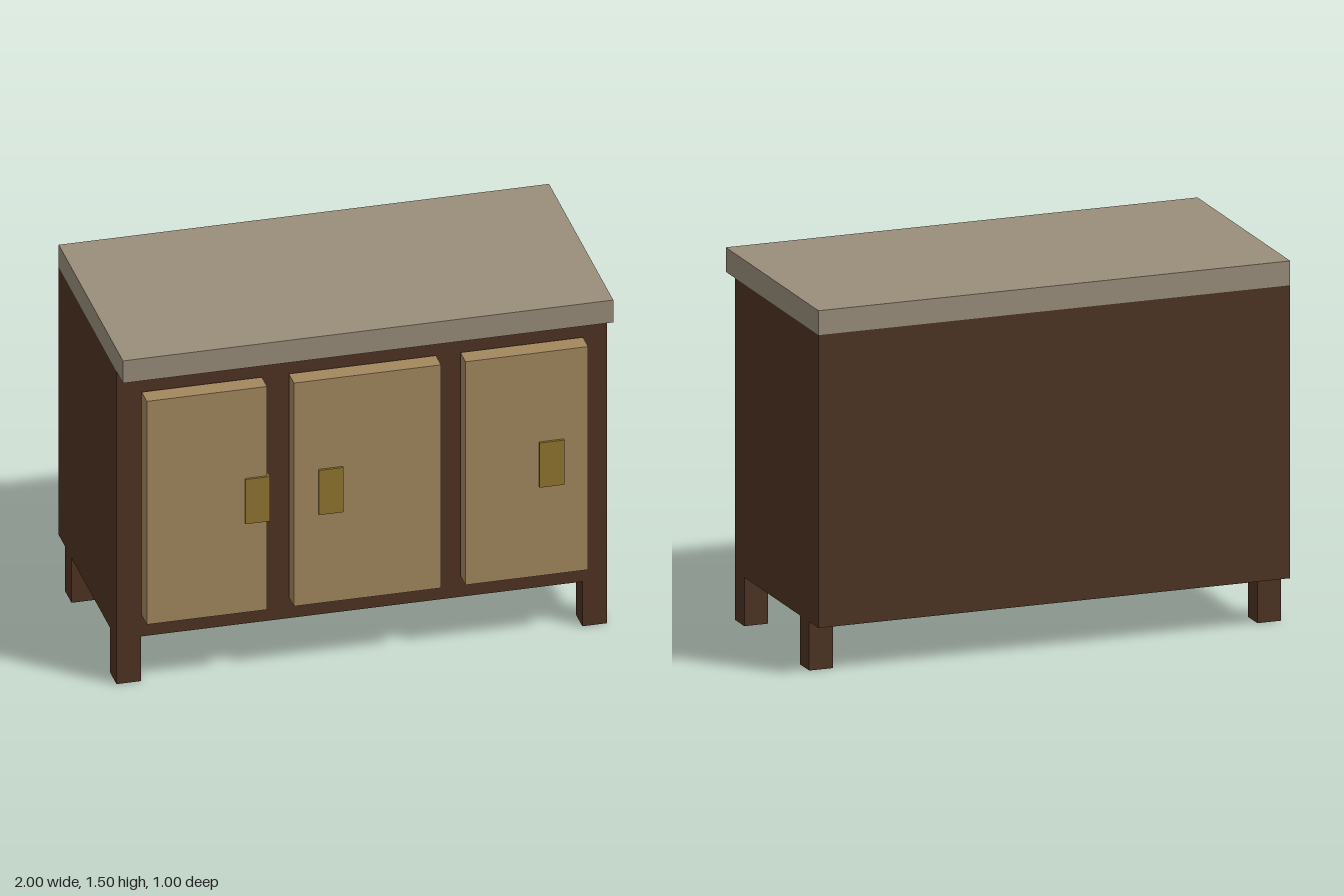
import * as THREE from 'three';

function material(name, color) {
  const m = new THREE.MeshStandardMaterial({ color });
  m.name = name;
  return m;
}

export function createModel() {
  const darkWood = material('dark wood', 0x4e3323);
  const lightWood = material('light wood', 0xa3885e);
  const stone = material('stone', 0x9a8e7b);
  const brass = material('brass', 0x91762f);

  const cabinet = new THREE.Group();
  cabinet.name = 'cabinet';

  // Box given by its extents along each axis
  function addBox(name, mat, [x0, x1], [y0, y1], [z0, z1]) {
    const mesh = new THREE.Mesh(new THREE.BoxGeometry(x1 - x0, y1 - y0, z1 - z0), mat);
    mesh.position.set((x0 + x1) / 2, (y0 + y1) / 2, (z0 + z1) / 2);
    mesh.name = name;
    cabinet.add(mesh);
  }

  // Carcass and overhanging worktop
  addBox('body', darkWood, [-1, 1], [0.2, 1.4], [-0.5, 0.4]);
  addBox('worktop', stone, [-1, 1], [1.4, 1.5], [-0.5, 0.5]);

  // Legs: the rear pair is set in from the back
  for (const [side, x] of [['right', -1], ['left', 0.9]]) {
    addBox(`${side}FrontLeg`, darkWood, [x, x + 0.1], [0, 0.2], [0.3, 0.4]);
    addBox(`${side}BackLeg`, darkWood, [x, x + 0.1], [0, 0.2], [-0.4, -0.3]);
  }

  // Doors stand just off the body; each handle passes through to it
  const doors = [
    ['right', -0.9, -0.41, -0.5],
    ['middle', -0.3, 0.3, -0.2],
    ['left', 0.4, 0.9, 0.7],
  ];
  for (const [side, x0, x1, handleX] of doors) {
    addBox(`${side}Door`, lightWood, [x0, x1], [0.3, 1.3], [0.41, 0.49]);
    addBox(`${side}Handle`, brass, [handleX, handleX + 0.1], [0.7, 0.9], [0.4, 0.5]);
  }

  // Centre the whole on the vertical axis
  return cabinet;
}
